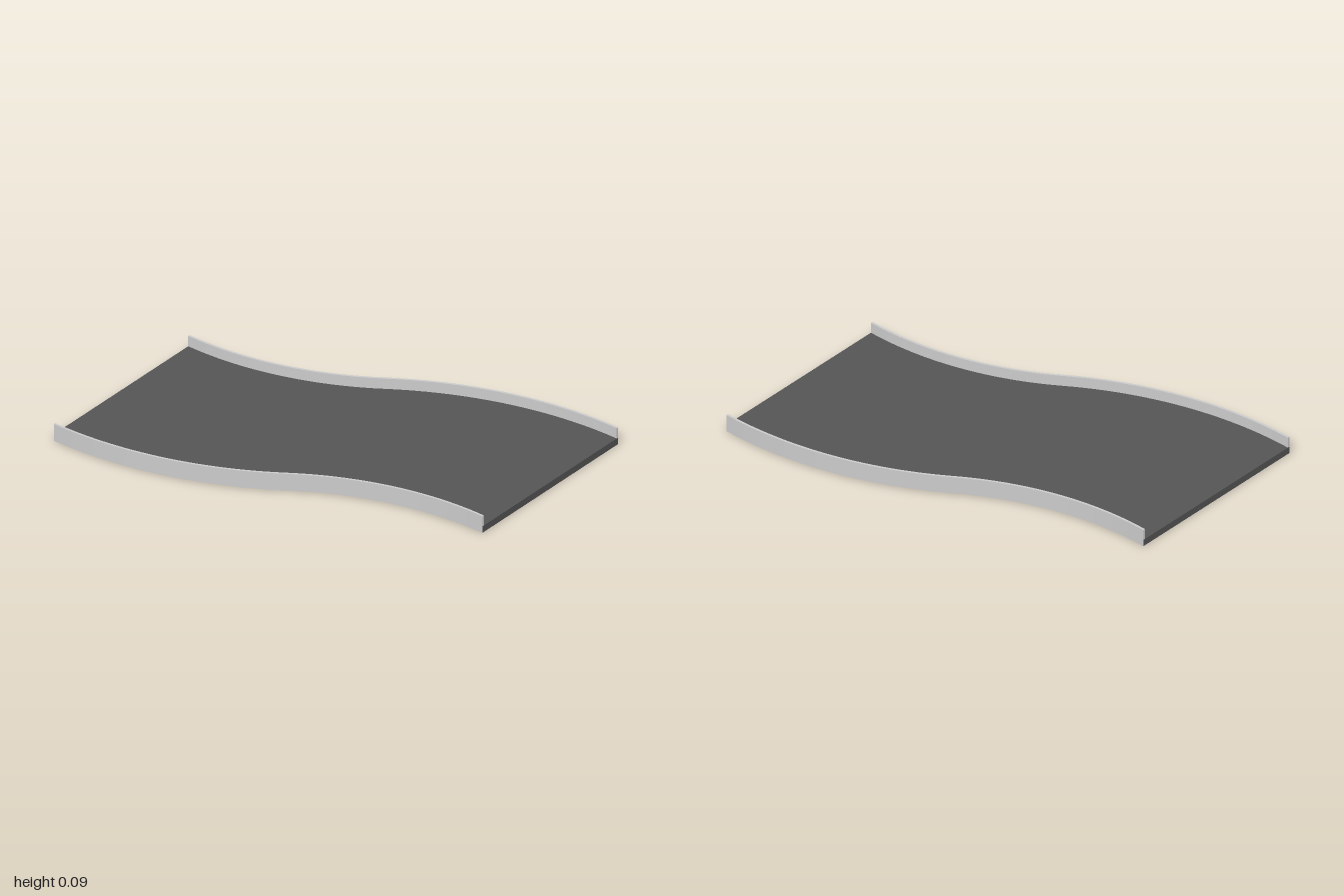
import * as THREE from 'three';

const SLAB = 0.033, TOP = 0.085, RAIL = 0.011, SKIN = 0.002, SEGMENTS = 48;

// Front edge of the road: two tangent arcs forming an S
function edge(x) {
  if (x < 0.08) return -1.028 + Math.sqrt(1.778 ** 2 - (x + 0.87) ** 2);
  return 1.719 - Math.sqrt(1.479 ** 2 - (x - 0.88) ** 2);
}

// Front edge moved inwards by distance d, measured square to the curve
function inset(x, d) {
  const slope = (edge(x + 0.001) - edge(x - 0.001)) / 0.002;
  return edge(x) - d * Math.hypot(1, slope);
}

// Sweeps a counter-clockwise section of [z, y] points along x, with sharp long edges and end caps
function sweep(section) {
  const pos = [], index = [];
  const n = section(0).length;
  for (let k = 0; k < n; k++) {
    const base = pos.length / 3;
    for (let i = 0; i <= SEGMENTS; i++) {
      const x = -1 + (2 * i) / SEGMENTS;
      const s = section(x);
      for (const [z, y] of [s[k], s[(k + 1) % n]]) pos.push(x, y, z);
      if (i < SEGMENTS) {
        const a = base + 2 * i;
        index.push(a, a + 3, a + 1, a, a + 2, a + 3);
      }
    }
  }
  for (const x of [-1, 1]) {
    const base = pos.length / 3;
    const s = section(x);
    for (const [z, y] of s) pos.push(x, y, z);
    const faces = THREE.ShapeUtils.triangulateShape(s.map(([z, y]) => new THREE.Vector2(z, y)), []);
    for (const [a, b, c] of faces) {
      if (x < 0) index.push(base + a, base + b, base + c);
      else index.push(base + a, base + c, base + b);
    }
  }
  const g = new THREE.BufferGeometry();
  g.setAttribute('position', new THREE.Float32BufferAttribute(pos, 3));
  g.setIndex(index);
  g.computeVertexNormals();
  return g;
}

export function createModel() {
  const group = new THREE.Group();
  const roadMaterial = new THREE.MeshStandardMaterial({ color: 0x555555 });
  const railMaterial = new THREE.MeshStandardMaterial({ color: 0xcccccc });

  // Dark road slab
  const road = new THREE.Mesh(sweep((x) => {
    const front = inset(x, SKIN), back = -inset(-x, SKIN);
    return [[back, 0], [front, 0], [front, SLAB], [back, SLAB]];
  }), roadMaterial);
  road.name = 'roadSlab';
  group.add(road);

  // Side walls: a thin lip above the slab with a skin down its outer side
  const railGeometry = sweep((x) => {
    const outer = edge(x), skin = inset(x, SKIN), inner = inset(x, RAIL);
    return [[outer, 0], [outer, TOP], [inner, TOP], [inner, SLAB], [skin, SLAB], [skin, 0]];
  });
  ['frontWall', 'backWall'].forEach((name, i) => {
    const rail = new THREE.Mesh(railGeometry, railMaterial);
    rail.name = name;
    rail.rotation.y = i * Math.PI;
    group.add(rail);
  });
  return group;
}
